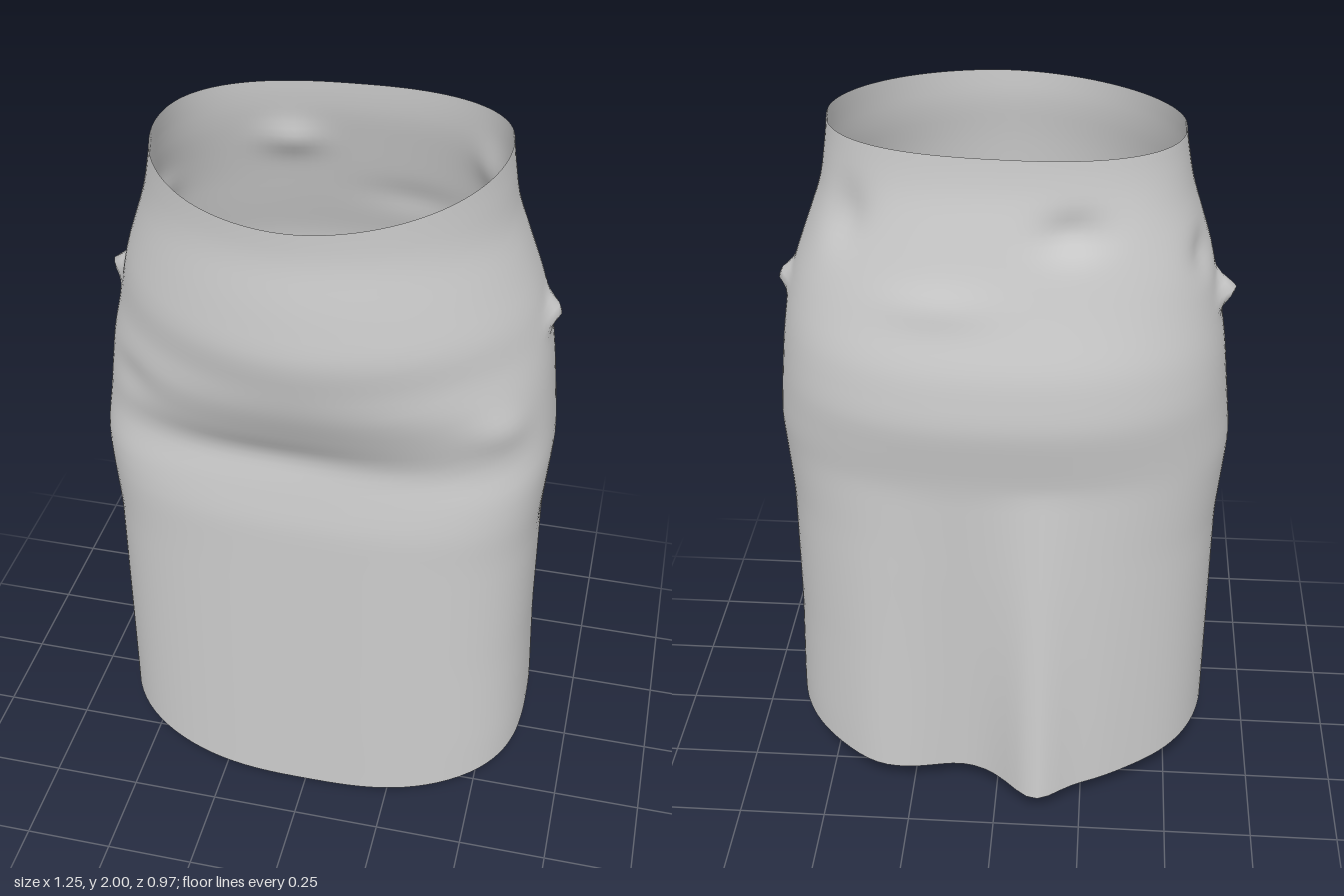
import * as THREE from 'three';

// Half-widths and depths of the cross-section as [height, value]
const LEFT = [[0, 0.62], [0.2, 0.62], [0.5, 0.608], [0.9, 0.605], [1.15, 0.625], [1.4, 0.6], [1.5, 0.585], [1.6, 0.56], [1.83, 0.475], [2, 0.45]];
const RIGHT = [[0, 0.61], [0.2, 0.61], [0.85, 0.61], [1.1, 0.632], [1.4, 0.6], [1.5, 0.58], [1.65, 0.55], [1.83, 0.49], [1.98, 0.463]];
const FRONT = [[0, 0.365], [1.0, 0.37], [1.2, 0.345], [1.28, 0.375], [1.42, 0.44], [1.6, 0.48], [1.75, 0.465], [1.88, 0.445], [1.96, 0.448]];
const BACK = [[0, 0.405], [0.8, 0.41], [1.1, 0.41], [1.3, 0.448], [1.45, 0.435], [1.6, 0.39], [1.75, 0.35], [1.9, 0.31], [2, 0.3]];
// Squareness (superellipse power) of the front and back halves
const FRONT_POWER = [[0, 3], [1.1, 2.9], [1.3, 2.4], [1.5, 1.9], [2, 1.85]];
const BACK_POWER = [[0, 2.4], [1.5, 2.35], [2, 2.5]];

// Local wrinkles: [angle in degrees, height, angular spread, height spread, push]
const WRINKLES = [
  [-4, 1.54, 7, 0.028, 0.035], [183, 1.53, 7, 0.028, 0.05], // nubs on the hips
  [38, 1.33, 10, 0.06, 0.015], [142, 1.36, 12, 0.06, -0.012],
  [100, 1.23, 28, 0.05, -0.012],
  [-112, 1.8, 9, 0.05, -0.025], [-160, 1.68, 9, 0.05, -0.018],
  [-42, 1.8, 8, 0.08, -0.02], [-75, 1.62, 14, 0.05, 0.01],
];

function sample(table, y) {
  const at = (h) => {
    if (h <= table[0][0]) return table[0][1];
    for (let i = 1; i < table.length; i++) {
      const [h0, v0] = table[i - 1], [h1, v1] = table[i];
      if (h <= h1) return v0 + ((v1 - v0) * (h - h0)) / (h1 - h0);
    }
    return table[table.length - 1][1];
  };
  return (at(y - 0.04) + 2 * at(y) + at(y + 0.04)) / 4;
}

const bell = (d, w) => Math.exp(-(d * d) / (w * w));

// Point on the cloth at an angle around the body and a fraction of the height
function clothPoint(angle, v) {
  const c = Math.cos(angle), s = Math.sin(angle), front = s >= 0;

  // Hem dips at the front and back, waist edge is lower at the front
  const m = Math.abs(s);
  const flat = m / Math.pow(Math.pow(Math.abs(c), 2.9) + Math.pow(m, 2.9), 1 / 2.9);
  const hem = front ? 0.18 - 0.13 * flat - 0.05 * Math.pow(flat, 8) : 0.18 - 0.085 * flat;
  const rim = 1.987 + 0.012 * c - 0.035 * Math.max(0, s);
  const y = hem + (rim - hem) * v;

  const n = sample(front ? FRONT_POWER : BACK_POWER, y);
  const k = Math.pow(Math.pow(Math.abs(c), n) + Math.pow(m, n), -1 / n);
  let x = c * k * sample(c >= 0 ? LEFT : RIGHT, y);
  let z = s * k * sample(front ? FRONT : BACK, y);

  for (const [deg, h, da, dh, push] of WRINKLES) {
    let d = (angle * 180) / Math.PI - deg;
    d -= 360 * Math.round(d / 360);
    const p = push * bell(d, da) * bell(y - h, dh);
    x += c * p;
    z += s * p;
  }

  // Folds hanging down the back, fading out towards the hips
  if (!front) {
    const fade = Math.max(0, 1 - y / 1.1);
    z += fade * (0.05 * bell(x - 0.1, 0.12) - 0.095 * bell(x + 0.12, 0.09) - 0.025 * bell(x + 0.27, 0.1) - 0.02 * bell(x - 0.36, 0.1));
  }
  return [x, y, z];
}

function skirtGeometry(around = 120, rows = 90) {
  const positions = [], index = [];
  for (let j = 0; j <= rows; j++) {
    for (let i = 0; i < around; i++) {
      positions.push(...clothPoint((i / around) * Math.PI * 2, j / rows));
      if (j === rows) continue;
      const a = j * around + i, b = j * around + ((i + 1) % around);
      index.push(a, a + around, b, b, a + around, b + around);
    }
  }
  const geometry = new THREE.BufferGeometry();
  geometry.setAttribute('position', new THREE.Float32BufferAttribute(positions, 3));
  geometry.setIndex(index);
  geometry.computeVertexNormals();
  return geometry;
}

export function createModel() {
  const model = new THREE.Group();
  model.name = 'skirt';
  const material = new THREE.MeshStandardMaterial({ color: 0xcccccc, side: THREE.DoubleSide });
  const cloth = new THREE.Mesh(skirtGeometry(), material);
  cloth.name = 'skirtCloth';
  model.add(cloth);
  return model;
}
